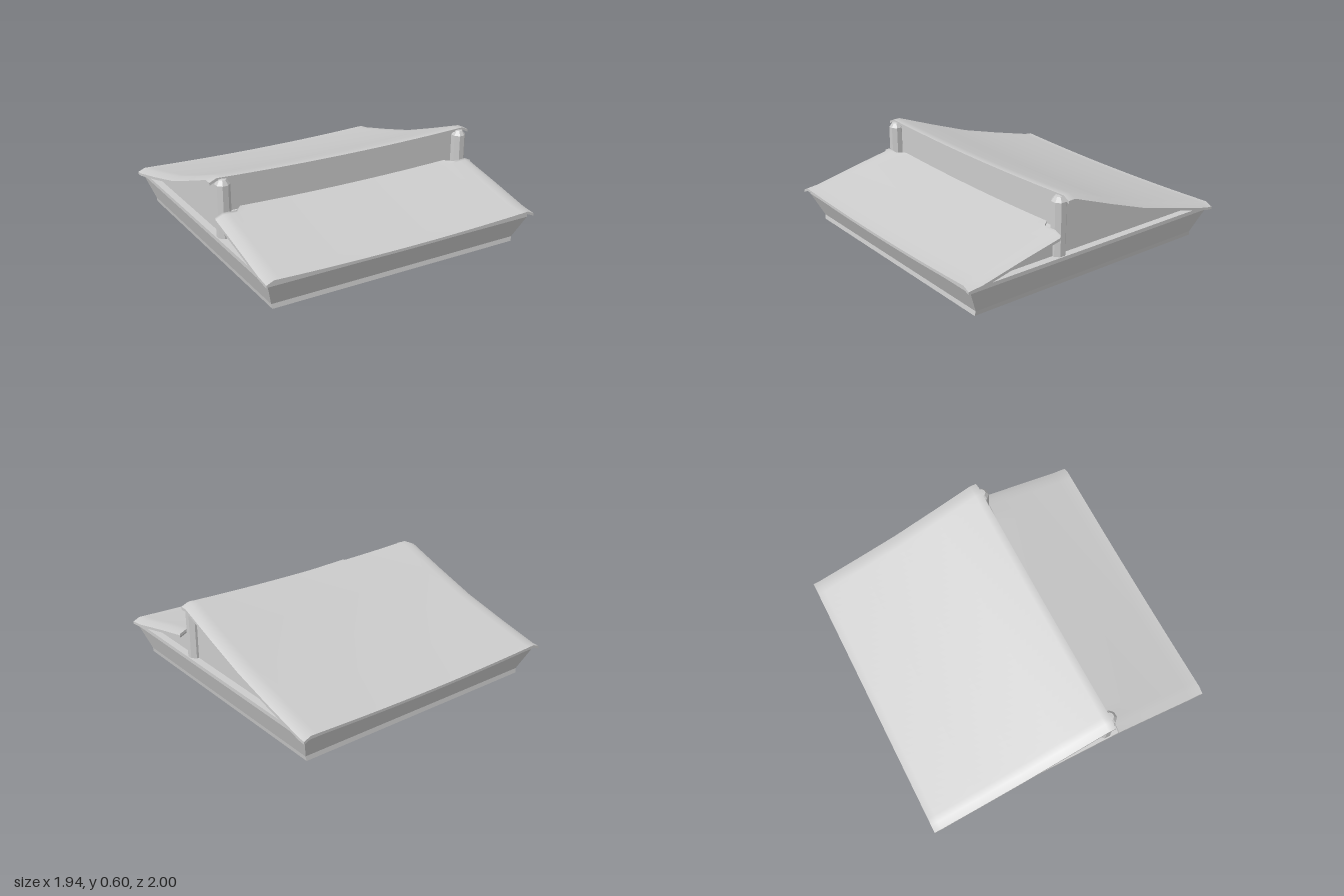
import * as THREE from 'three';

const grey = new THREE.MeshStandardMaterial({ color: 0xcccccc, side: THREE.DoubleSide });
const flatGrey = new THREE.MeshStandardMaterial({ color: 0xcccccc, flatShading: true });

// Top-surface height along z at the roof's side edges, as [z, y] from back to front
const BACK = [[-1, 0.232], [-0.95, 0.236], [-0.65, 0.31], [-0.35, 0.39], [-0.05, 0.495], [0.235, 0.6], [0.285, 0.598]];
const FRONT = [[0.28, 0.39], [0.34, 0.378], [0.6, 0.322], [0.9, 0.252], [1, 0.24]];

function add(group, name, geometry, material = grey) {
  const mesh = new THREE.Mesh(geometry, material);
  mesh.name = name;
  group.add(mesh);
  return mesh;
}

// Thin roof sheet following a profile, sagging mid-span and curled down at the sides
function roofGeometry(profile, halfWidth, notch) {
  const n = profile.length - 1;
  const geo = new THREE.BoxGeometry(2 * halfWidth, 1, 1, 40, 1, n);
  const p = geo.attributes.position;
  for (let i = 0; i < p.count; i++) {
    const x = p.getX(i);
    const [pz, py] = profile[Math.round((p.getZ(i) + 0.5) * n)];
    const sag = 0.02 * (Math.min(1, Math.abs(x) / 0.93) ** 2 - 1);
    const curl = Math.max(0, (Math.abs(x) - 0.92) / (halfWidth - 0.92)) * 0.022;
    const thickness = p.getY(i) < 0 ? 0.018 : 0;
    const z = notch && Math.abs(x) > 0.82 ? Math.max(pz, 0.335) : pz;
    p.setXYZ(i, x, py + sag - curl - thickness, z);
  }
  geo.computeVertexNormals();
  return geo;
}

// Tray with flared sides and a short upright lip at top and bottom
function baseGeometry() {
  const rows = [[0, 0.88, 0.9], [0.03, 0.885, 0.895], [0.185, 0.94, 0.968], [0.21, 0.94, 0.968]];
  const geo = new THREE.BoxGeometry(1, 1, 1, 1, 3, 1);
  const p = geo.attributes.position;
  for (let i = 0; i < p.count; i++) {
    const [y, hx, hz] = rows[Math.round((p.getY(i) + 0.5) * 3)];
    p.setXYZ(i, Math.sign(p.getX(i)) * hx, y, Math.sign(p.getZ(i)) * hz);
  }
  geo.computeVertexNormals();
  return geo;
}

// Solid house body: side outline extruded across the width
function bodyGeometry() {
  const outline = [[0.95, 0.2], [0.95, 0.218], [0.6, 0.292], [0.34, 0.348], [0.265, 0.36], [0.265, 0.568],
    [0.235, 0.568], [-0.05, 0.465], [-0.35, 0.36], [-0.65, 0.28], [-0.93, 0.211], [-0.93, 0.2]];
  const shape = new THREE.Shape(outline.map(([z, y]) => new THREE.Vector2(-z, y)));
  const width = 1.78;
  const geo = new THREE.ExtrudeGeometry(shape, { depth: width, bevelEnabled: false });
  geo.translate(0, 0, -width / 2);
  geo.rotateY(Math.PI / 2);
  return geo;
}

// Eight-sided post with a tapered cap
function postGeometry() {
  const r = 0.045 / Math.cos(Math.PI / 8);
  const points = [[0, 0.2], [r, 0.2], [r, 0.555], [r * 0.55, 0.585], [0, 0.588]];
  const geo = new THREE.LatheGeometry(points.map(([x, y]) => new THREE.Vector2(x, y)), 8);
  geo.rotateY(Math.PI / 8);
  return geo;
}

export function createModel() {
  const model = new THREE.Group();
  model.name = 'house';
  add(model, 'base', baseGeometry(), flatGrey);
  add(model, 'walls', bodyGeometry());
  add(model, 'backRoof', roofGeometry(BACK, 0.97, false));
  add(model, 'frontRoof', roofGeometry(FRONT, 0.965, true));

  // Corner posts at the step between the roofs
  for (const [name, side] of [['leftPost', 1], ['rightPost', -1]]) {
    add(model, name, postGeometry(), flatGrey).position.set(side * 0.887, 0, 0.287);
  }
  return model;
}
